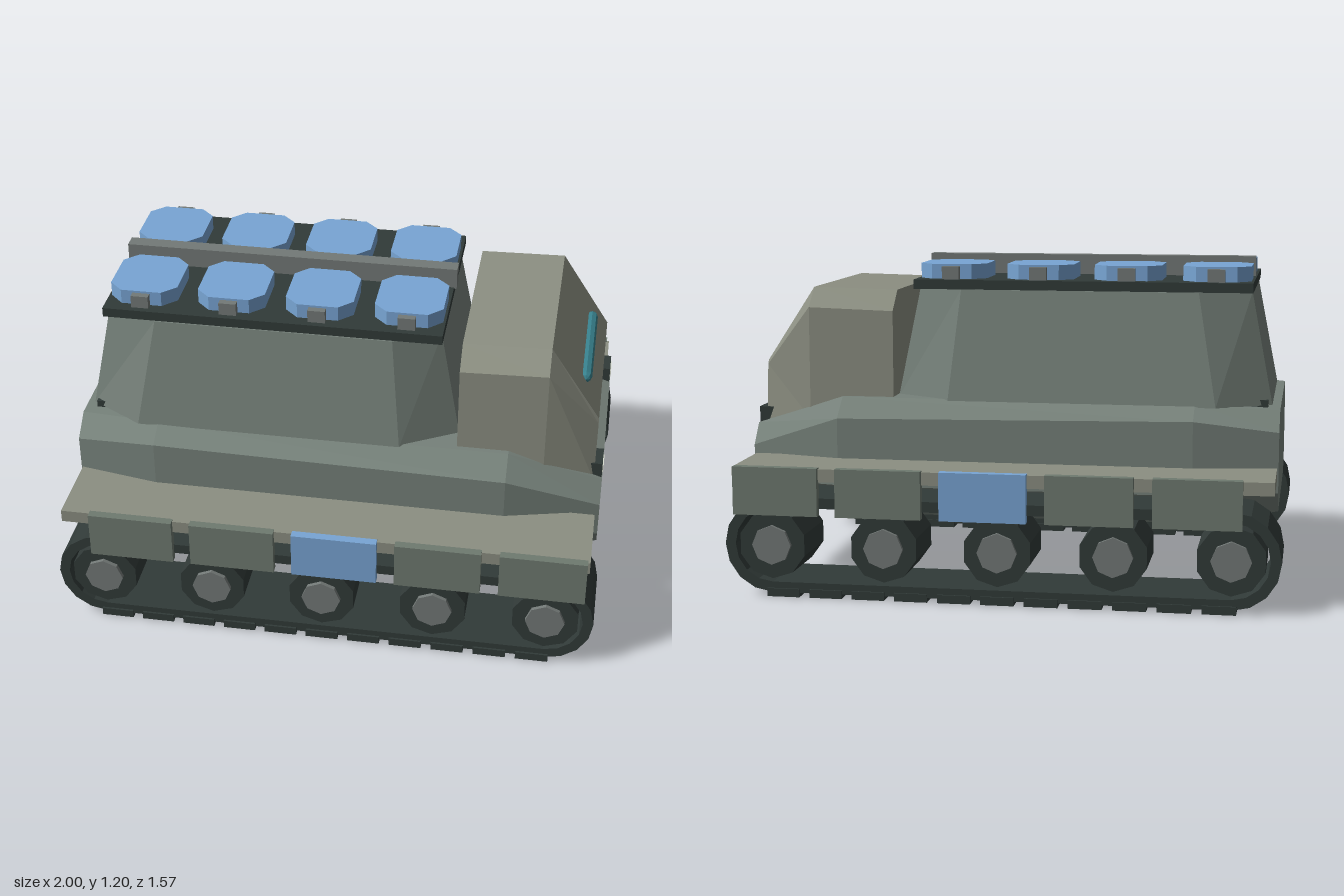
import * as THREE from 'three';

const mat = (color, extra = {}) => new THREE.MeshStandardMaterial({ color, flatShading: true, ...extra });
const hullMat = mat(0x76817a);
const paleMat = mat(0x8c8f82);
const skirtMat = mat(0x6f7a70);
const darkMat = mat(0x313a38);
const greyMat = mat(0x737977);
const blueMat = mat(0x78a5d4);
const glassMat = mat(0x37808c);
const lampMat = mat(0xd8dccf);

// Skin rings of points [x, y, z] that run counter-clockwise about the loft direction, with flat caps
function loft(rings) {
  const pos = [];
  const n = rings[0].length;
  const tri = (...p) => p.forEach((v) => pos.push(...v));
  for (let r = 0; r < rings.length - 1; r++) {
    const a = rings[r], b = rings[r + 1];
    for (let i = 0; i < n; i++) {
      const j = (i + 1) % n;
      tri(a[i], a[j], b[j]);
      tri(a[i], b[j], b[i]);
    }
  }
  const first = rings[0], last = rings[rings.length - 1];
  for (let i = 1; i < n - 1; i++) {
    tri(first[0], first[i + 1], first[i]);
    tri(last[0], last[i], last[i + 1]);
  }
  const g = new THREE.BufferGeometry();
  g.setAttribute('position', new THREE.Float32BufferAttribute(pos, 3));
  g.computeVertexNormals();
  return g;
}

// Mirrored cross-section at x; half lists [z, y] from top to bottom
const section = (x, half) => [
  ...half.map(([z, y]) => [x, y, z]),
  ...[...half].reverse().map(([z, y]) => [x, y, -z]),
];

// Rectangle with cut corners at height y; cx and cz are the cut sizes
const cutRect = (y, x0, x1, hz, c0, c1, cz) => [
  [x1, y, hz - cz], [x1, y, cz - hz], [x1 - c1, y, -hz], [x0 + c0, y, -hz],
  [x0, y, cz - hz], [x0, y, hz - cz], [x0 + c0, y, hz], [x1 - c1, y, hz],
];

export function createModel() {
  const model = new THREE.Group();
  const add = (name, geo, material, x = 0, y = 0, z = 0) => {
    const m = new THREE.Mesh(geo, material);
    m.name = name;
    m.position.set(x, y, z);
    model.add(m);
    return m;
  };
  // Box given by its extents
  const box = (name, material, x0, x1, y0, y1, z0, z1) =>
    add(name, new THREE.BoxGeometry(x1 - x0, y1 - y0, z1 - z0), material,
      (x0 + x1) / 2, (y0 + y1) / 2, (z0 + z1) / 2);

  // Faceted hull
  add('hull', loft([
    section(-0.975, [[0.4, 0.67], [0.48, 0.6], [0.48, 0.38], [0.41, 0.3]]),
    section(-0.67, [[0.45, 0.69], [0.535, 0.64], [0.535, 0.37], [0.44, 0.25]]),
    section(0.64, [[0.45, 0.69], [0.535, 0.62], [0.535, 0.37], [0.44, 0.25]]),
    section(0.985, [[0.39, 0.575], [0.45, 0.5], [0.45, 0.37], [0.4, 0.3]]),
  ]), hullMat);

  // Rear compartment, tapering upward
  add('compartment', loft([
    cutRect(0.68, -0.945, 0.45, 0.46, 0.2, 0.21, 0.12),
    cutRect(1.09, -0.865, 0.37, 0.39, 0.19, 0.17, 0.08),
  ]), hullMat);

  // Driver cab with sloped windscreen
  add('cab', loft([
    section(0.45, [[0.35, 1.083], [0.43, 1.01], [0.43, 0.6]]),
    section(0.77, [[0.35, 1.09], [0.43, 1.02], [0.43, 0.6]]),
    section(0.955, [[0.345, 0.81], [0.355, 0.795], [0.38, 0.56]]),
  ]), paleMat);
  add('visionSlit', new THREE.CapsuleGeometry(0.022, 0.436, 2, 8).rotateX(Math.PI / 2), glassMat, 0.895, 0.905, 0);

  // Roof rack with central spine
  box('rackPlate', darkMat, -0.87, 0.38, 1.09, 1.125, -0.385, 0.385);
  box('rackSpine', greyMat, -0.865, 0.39, 1.12, 1.2, -0.028, 0.028);

  // Roof panels with clips
  for (const s of [-1, 1]) {
    for (let i = 0; i < 4; i++) {
      const x = -0.735 + i * 0.327;
      add('roofPanel', loft([1.125, 1.18].map((y) => cutRect(y, -0.125, 0.125, 0.136, 0.05, 0.05, 0.05))),
        blueMat, x, 0, s * 0.2);
      box('panelClip', greyMat, x - 0.032, x + 0.032, 1.12, 1.172, s * 0.345 - 0.017, s * 0.345 + 0.017);
    }
  }

  // Track outline: rounded loop with a matching hole
  const wheelY = 0.19;
  const loop = (path, r) => {
    path.absarc(0.825, wheelY, r, -Math.PI / 2, Math.PI / 2, false);
    path.absarc(-0.825, wheelY, r, Math.PI / 2, Math.PI * 1.5, false);
    path.closePath();
    return path;
  };
  const outline = loop(new THREE.Shape(), 0.175);
  outline.holes.push(loop(new THREE.Path(), 0.137));
  const trackGeo = new THREE.ExtrudeGeometry(outline, { depth: 0.285, bevelEnabled: false, curveSegments: 4 });
  const wheelGeo = new THREE.CylinderGeometry(0.125, 0.125, 0.25, 10).rotateX(Math.PI / 2);
  const hubGeo = new THREE.CylinderGeometry(0.072, 0.072, 0.03, 8).rotateX(Math.PI / 2);

  for (const s of [-1, 1]) {
    // Running gear
    add('track', trackGeo, darkMat, 0, 0, s * 0.62 - 0.1425);
    for (let i = 0; i < 5; i++) {
      const x = (i - 2) * 0.4125;
      add('roadWheel', wheelGeo, darkMat, x, wheelY, s * 0.635);
      add('wheelHub', hubGeo, greyMat, x, wheelY, s * 0.76);
    }
    for (let i = 0; i < 11; i++) {
      const x = (i - 5) * 0.157;
      box('trackCleat', darkMat, x - 0.06, x + 0.06, 0, 0.03, s * 0.62 - 0.15, s * 0.62 + 0.15);
    }

    // Fender and side skirts
    box('fender', paleMat, -0.97, 0.97, 0.425, 0.472, s * 0.62 - 0.145, s * 0.62 + 0.145);
    for (let i = 0; i < 5; i++) {
      const x = 0.05 + (i - 2) * 0.378;
      box('sideSkirt', i === 2 ? blueMat : skirtMat, x - 0.156, x + 0.156, 0.302, 0.477, s * 0.77 - 0.016, s * 0.77 + 0.016);
    }

    // Headlights and rear markers
    box('headlightHousing', darkMat, 0.925, 0.983, 0.573, 0.635, s * 0.33 - 0.05, s * 0.33 + 0.05);
    box('headlight', lampMat, 0.97, 0.987, 0.59, 0.619, s * 0.33 - 0.035, s * 0.33 + 0.035);
    box('rearMarker', darkMat, -0.93, -0.86, 0.665, 0.7, s * 0.345 - 0.018, s * 0.345 + 0.018);
  }
  return model;
}
